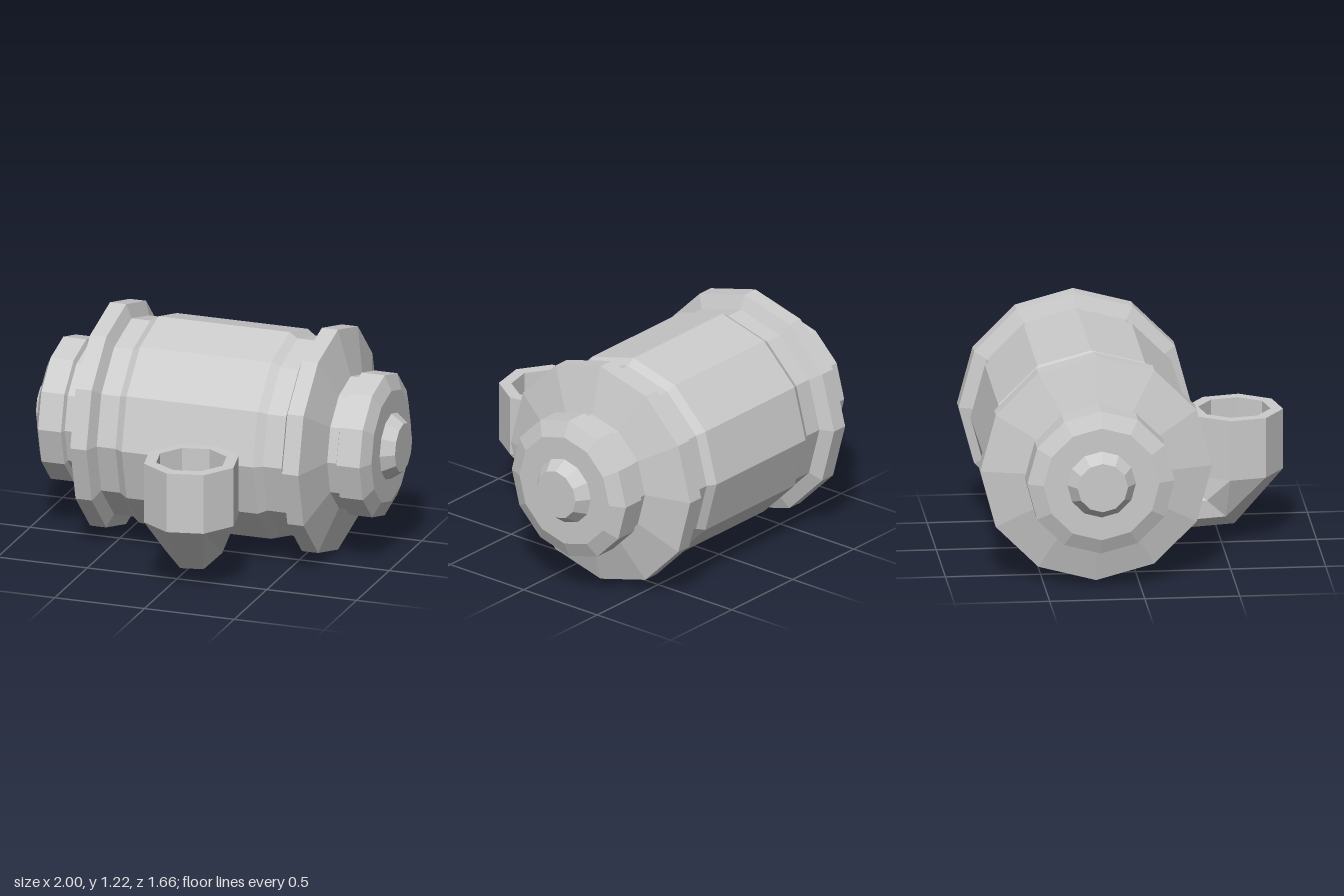
import * as THREE from 'three';

const material = new THREE.MeshStandardMaterial({ color: 0xcccccc, flatShading: true });

function facetedMesh(geometry, name) {
  const flat = geometry.index ? geometry.toNonIndexed() : geometry;
  flat.computeVertexNormals();
  const mesh = new THREE.Mesh(flat, material);
  mesh.name = name;
  return mesh;
}

// Skin a list of rings (arrays of Vector3 with equal length) with quads
function skinRings(rings) {
  const n = rings[0].length;
  const index = [];
  for (let r = 0; r < rings.length - 1; r++) {
    for (let k = 0; k < n; k++) {
      const a = r * n + k, b = r * n + (k + 1) % n;
      index.push(a, a + n, b + n, a, b + n, b);
    }
  }
  const geometry = new THREE.BufferGeometry().setFromPoints(rings.flat());
  geometry.setIndex(index);
  return geometry;
}

// Twelve-sided stepped barrel lying along x, mirrored about its middle
function createBarrel() {
  const half = [ // [distance from middle, radius]
    [0.365, 0.565], [0.41, 0.535], [0.515, 0.535], [0.545, 0.61],
    [0.635, 0.61], [0.705, 0.36], [0.757, 0.36], [0.767, 0.388],
    [0.895, 0.388], [0.932, 0.305], [0.932, 0.18], [1, 0.132], [1, 0],
  ];
  const profile = [
    ...half.map(([x, r]) => new THREE.Vector2(r, -x)).reverse(),
    ...half.map(([x, r]) => new THREE.Vector2(r, x)),
  ];
  const geometry = new THREE.LatheGeometry(profile, 12);
  geometry.rotateZ(-Math.PI / 2);
  const barrel = facetedMesh(geometry, 'barrel');
  barrel.position.set(0, 0.61, -0.22);
  return barrel;
}

// Eight-sided elbow pipe: hollow upright mouth, bend, then a run under the barrel
function createElbowPipe() {
  const ring = (point) => Array.from({ length: 8 }, (_, k) => {
    const t = (k + 0.5) * Math.PI / 4;
    return new THREE.Vector3(...point(Math.sin(t), Math.cos(t)));
  });
  const upright = (radius, y) => ring((s, c) => [radius * s, y, radius * c]);
  const run = (z, slant, scale = 1) =>
    ring((s, c) => [0.162 * scale * s, 0.204 - 0.126 * scale * c, z + slant * c]);

  const geometry = skinRings([
    upright(0, 0.4), upright(0.19, 0.4), // floor of the mouth
    upright(0.19, 0.7), upright(0.256, 0.7), // rim
    upright(0.256, 0.375),
    run(-0.145, 0.135), // mitred bend
    run(-1.02, 0), run(-1.02, 0, 0), // closed far end
  ]);
  const pipe = facetedMesh(geometry, 'elbowPipe');
  pipe.position.set(0.108, 0, 0.578);
  pipe.rotation.y = THREE.MathUtils.degToRad(12);
  return pipe;
}

export function createModel() {
  const model = new THREE.Group();
  model.name = 'barrelWithPipe';
  model.add(createBarrel(), createElbowPipe());
  return model;
}
